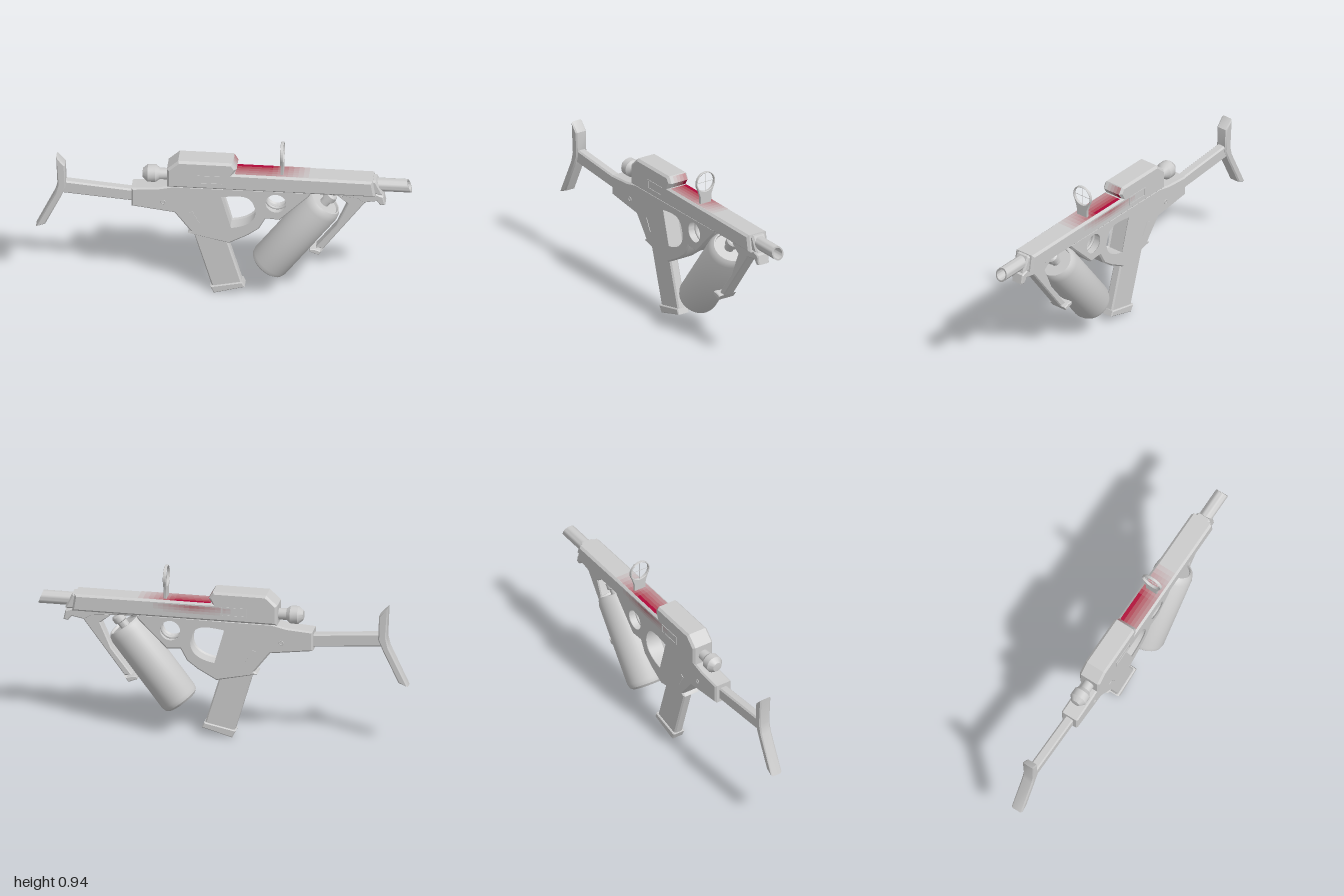
import * as THREE from 'three';
import { toCreasedNormals } from 'three/addons/utils/BufferGeometryUtils.js';

const grey = new THREE.MeshStandardMaterial({ color: 0xcccccc, side: THREE.DoubleSide });

export function createModel() {
  const group = new THREE.Group();
  group.name = 'compactGun';

  const add = (name, geometry, parent = group, material = grey) => {
    const mesh = new THREE.Mesh(geometry, material);
    mesh.name = name;
    parent.add(mesh);
    return mesh;
  };
  const outline = (pts, Type = THREE.Shape) => new Type(pts.map(([x, y]) => new THREE.Vector2(x, y)));

  // Side profile extruded evenly to both sides of z = 0, with chamfered edges
  const slab = (name, shape, half, bevel = 0.008, parent = group) => {
    const g = new THREE.ExtrudeGeometry(Array.isArray(shape) ? outline(shape) : shape, {
      depth: 2 * (half - bevel), bevelEnabled: bevel > 0, bevelThickness: bevel,
      bevelSize: bevel, bevelOffset: -bevel, bevelSegments: 1, curveSegments: 20,
    });
    g.translate(0, 0, -(half - bevel));
    return add(name, toCreasedNormals(g, 0.5), parent);
  };
  // Lathe of [radius, height] points
  const turned = (pts, sides = 32) =>
    toCreasedNormals(new THREE.LatheGeometry(pts.map(([r, y]) => new THREE.Vector2(r, y)), sides), 0.5);

  // Receiver with raised rear housing
  slab('receiver', [
    [-0.30, 0.665], [0.81, 0.665], [0.795, 0.76], [0.05, 0.762], [0.07, 0.794],
    [0.048, 0.83], [-0.24, 0.83], [-0.30, 0.775],
  ], 0.063, 0.012);

  // Framed window on each side of the receiver
  for (const s of [1, -1]) {
    const frame = outline([[-0.135, 0.698], [0, 0.698], [0, 0.75], [-0.135, 0.75]]);
    frame.holes.push(outline([[-0.128, 0.705], [-0.007, 0.705], [-0.007, 0.743], [-0.128, 0.743]], THREE.Path));
    slab('windowFrame', frame, 0.003, 0).position.z = s * 0.0625;
  }

  // Lower frame with trigger opening and round finger hole
  const frame = outline([
    [-0.49, 0.64], [-0.35, 0.65], [-0.27, 0.668], [0.47, 0.668], [0.455, 0.64], [0.30, 0.485],
    [0.225, 0.49], [0.19, 0.425], [0.13, 0.38], [0.03, 0.325], [-0.19, 0.375], [-0.175, 0.39],
    [-0.26, 0.50], [-0.49, 0.53],
  ]);
  const guard = new THREE.Path();
  guard.moveTo(-0.022, 0.62);
  guard.bezierCurveTo(0.07, 0.635, 0.14, 0.645, 0.165, 0.585);
  guard.bezierCurveTo(0.205, 0.50, 0.16, 0.43, 0.035, 0.415);
  guard.closePath();
  const finger = new THREE.Path();
  finger.absarc(0.28, 0.59, 0.063, 0, Math.PI * 2, true);
  frame.holes.push(guard, finger);
  slab('lowerFrame', frame, 0.05);

  // Ring inside the finger hole
  const ring = add('fingerHoleRing', new THREE.TorusGeometry(0.058, 0.008, 8, 32));
  ring.position.set(0.28, 0.59, 0);

  // Pins and slanted slots on the frame sides
  for (const s of [1, -1]) {
    const pin = add('framePin', new THREE.TorusGeometry(0.011, 0.003, 6, 16));
    pin.position.set(-0.32, 0.565, s * 0.05);
    const slot = add('frameSlot', new THREE.BoxGeometry(0.022, 0.08, 0.006));
    slot.position.set(-0.155, 0.475, s * 0.05);
    slot.rotation.z = 0.48;
  }

  // Magazine and base plate
  slab('magazine', [[-0.165, 0.38], [0.015, 0.345], [0.1, 0.06], [-0.06, 0.025]], 0.026);
  slab('magazineBase', [[-0.072, 0.04], [0.1, 0.076], [0.112, 0.046], [-0.052, 0.0]], 0.035, 0.005);

  // Stock arm and butt plate
  slab('stockArm', [[-0.86, 0.575], [-0.48, 0.545], [-0.48, 0.617], [-0.86, 0.65]], 0.025);
  slab('buttPlate', [
    [-0.892, 0.80], [-0.845, 0.75], [-0.84, 0.615], [-0.865, 0.555], [-0.95, 0.378],
    [-1.0, 0.358], [-0.898, 0.575], [-0.885, 0.63],
  ], 0.033, 0.007);

  // Rear cocking knob
  const knob = add('rearKnob', turned([
    [0, -0.05], [0.026, -0.047], [0.048, -0.02], [0.048, 0.02], [0.032, 0.042], [0.03, 0.1],
  ], 16));
  knob.rotation.z = -Math.PI / 2;
  knob.position.set(-0.385, 0.713, 0);

  // Hollow barrel with a slanted muzzle
  const barrelShape = turned([[0.036, 0.78], [0.036, 1], [0.028, 1], [0.028, 0.88], [0, 0.88]]);
  barrelShape.rotateZ(-Math.PI / 2);
  const p = barrelShape.attributes.position;
  for (let i = 0; i < p.count; i++) {
    if (p.getX(i) > 0.95) p.setX(i, 0.987 - p.getY(i) * 0.36);
  }
  add('barrel', barrelShape).position.y = 0.713;
  slab('barrelCollar', [[0.78, 0.67], [0.85, 0.67], [0.845, 0.69], [0.812, 0.755], [0.78, 0.755]], 0.042, 0.01);

  // Front rail, strut and foot
  slab('frontRail', [
    [0.44, 0.67], [0.81, 0.67], [0.85, 0.655], [0.86, 0.605], [0.835, 0.60], [0.815, 0.625],
    [0.745, 0.612], [0.71, 0.635], [0.56, 0.65], [0.45, 0.65],
  ], 0.035, 0.006);
  slab('frontStrut', [
    [0.72, 0.65], [0.755, 0.615], [0.53, 0.31], [0.49, 0.315], [0.60, 0.46], [0.66, 0.60], [0.60, 0.65],
  ], 0.033, 0.006);
  slab('strutFoot', [[0.46, 0.315], [0.485, 0.315], [0.515, 0.305], [0.53, 0.312], [0.505, 0.28], [0.455, 0.30]], 0.05, 0.004);

  // Tilted canister with recessed top and valve
  const canister = new THREE.Group();
  canister.name = 'canister';
  canister.position.set(0.225, 0.175, 0);
  canister.rotation.z = -0.649;
  group.add(canister);
  add('canisterBody', turned([
    [0, 0], [0.085, 0], [0.1, 0.012], [0.107, 0.035], [0.107, 0.475], [0.1, 0.505],
    [0.09, 0.52], [0.083, 0.52], [0.08, 0.508], [0, 0.508],
  ], 40), canister);
  add('canisterValve', turned([
    [0.026, 0.5], [0.026, 0.54], [0.036, 0.545], [0.036, 0.575], [0.028, 0.583], [0, 0.583],
  ], 20), canister);

  // Ring sight with tapering post and crosshair
  const sight = new THREE.Group();
  sight.name = 'ringSight';
  sight.position.set(0.31, 0, 0);
  sight.rotation.y = Math.PI / 2;
  group.add(sight);
  const post = new THREE.Shape();
  post.moveTo(-0.034, 0.755);
  post.lineTo(0.034, 0.755);
  post.lineTo(0.036, 0.805);
  post.absarc(0, 0.88, 0.06, -0.55, Math.PI + 0.55, false);
  post.lineTo(-0.036, 0.805);
  const lens = new THREE.Path();
  lens.absarc(0, 0.882, 0.053, 0, Math.PI * 2, true);
  post.holes.push(lens);
  slab('sightPost', post, 0.008, 0.002, sight);
  for (const size of [[0.108, 0.002], [0.002, 0.108]]) {
    add('crosshair', new THREE.BoxGeometry(...size, 0.002), sight).position.y = 0.882;
  }

  // Red paint fading out along the receiver top, its right side and the housing front
  const paint = new THREE.Group();
  paint.name = 'redPaint';
  group.add(paint);
  const patch = (corners, strength) => {
    const color = new THREE.Color(0xcccccc).lerp(new THREE.Color(0xb00838), strength);
    const g = new THREE.BufferGeometry().setFromPoints(corners.map((c) => new THREE.Vector3(...c)));
    g.setIndex([0, 1, 2, 0, 2, 3]);
    g.computeVertexNormals();
    add('paintPatch', g, paint, new THREE.MeshStandardMaterial({ color, side: THREE.DoubleSide }));
  };
  const rows = 5, dz = 0.102 / rows;
  for (let j = 0; j < rows; j++) {
    const z0 = -0.051 + j * dz, z1 = z0 + dz, across = 1 - 0.11 * j;
    for (let i = 0; i < 14; i++) {
      const x0 = 0.062 + i * 0.028, x1 = x0 + 0.028, y = 0.7632;
      const along = THREE.MathUtils.clamp((0.46 - x0) / 0.22, 0, 1);
      patch([[x0, y, z0], [x0, y, z1], [x1, y, z1], [x1, y, z0]], across * along);
    }
    const front = Math.max(0, 1 - 0.25 * j);
    patch([[0.0515, 0.763, z0], [0.0515, 0.763, z1], [0.0712, 0.794, z1], [0.0712, 0.794, z0]], front);
    patch([[0.0712, 0.794, z0], [0.0712, 0.794, z1], [0.0515, 0.826, z1], [0.0515, 0.826, z0]], front * 0.6);
  }
  for (let i = 0; i < 16; i++) {
    const x0 = -0.05 + i * 0.028, x1 = x0 + 0.028;
    const along = Math.max(0, 1 - Math.abs(x0 - 0.14) / 0.24);
    for (let j = 0; j < 3; j++) {
      const y0 = 0.746 - j * 0.015, y1 = y0 - 0.015;
      patch([[x0, y0, -0.0635], [x1, y0, -0.0635], [x1, y1, -0.0635], [x0, y1, -0.0635]], along * (0.7 - 0.25 * j));
    }
  }
  return group;
}
